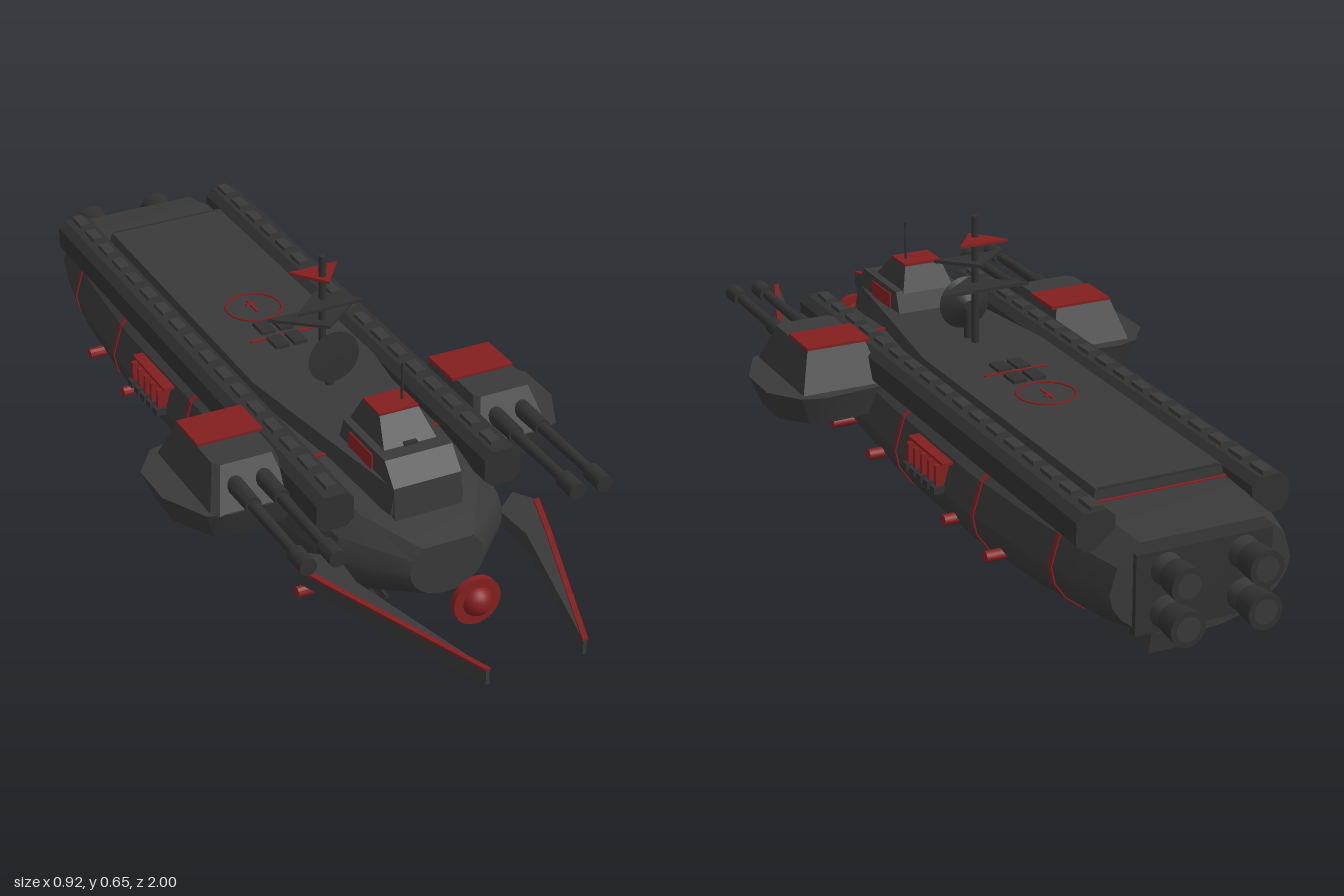
import * as THREE from 'three';
import { toCreasedNormals, mergeVertices } from 'three/addons/utils/BufferGeometryUtils.js';

const V = (x, y, z) => new THREE.Vector3(x, y, z);

// Skin closed rings of points (counter-clockwise seen from the first ring's side) and cap both ends
function loft(rings, crease = 0.5) {
  const n = rings[0].length, pos = rings.flat().flatMap(p => [p.x, p.y, p.z]), idx = [];
  for (let r = 0; r < rings.length - 1; r++) for (let i = 0; i < n; i++) {
    const a = r * n + i, b = r * n + (i + 1) % n, c = a + n, d = b + n;
    idx.push(a, c, b, b, c, d);
  }
  const e = (rings.length - 1) * n;
  for (let i = 1; i < n - 1; i++) idx.push(0, i, i + 1, e, e + i + 1, e + i);
  const g = new THREE.BufferGeometry();
  g.setAttribute('position', new THREE.Float32BufferAttribute(pos, 3));
  g.setIndex(idx);
  return toCreasedNormals(g, crease);
}

// Mirror across x and restore the winding
function mirrored(geo) {
  const g = geo.index ? geo.toNonIndexed() : geo.clone();
  g.scale(-1, 1, 1);
  for (const a of Object.values(g.attributes)) for (let t = 0; t < a.count; t += 3) for (let k = 0; k < a.itemSize; k++) {
    const u = a.getComponent(t + 1, k);
    a.setComponent(t + 1, k, a.getComponent(t + 2, k));
    a.setComponent(t + 2, k, u);
  }
  g.deleteAttribute('normal');
  g.deleteAttribute('uv');
  return toCreasedNormals(mergeVertices(g), 0.6);
}

const box = (w, h, d, x, y, z) => new THREE.BoxGeometry(w, h, d).translate(x, y, z);
const rodZ = (r0, r1, z0, z1, x, y, n = 16) =>
  new THREE.CylinderGeometry(r1, r0, z1 - z0, n).rotateX(Math.PI / 2).translate(x, y, (z0 + z1) / 2);
const rodY = (r, y0, y1, x, z) => new THREE.CylinderGeometry(r, r, y1 - y0, 10).translate(x, (y0 + y1) / 2, z);
const shapeOf = pts => new THREE.Shape(pts.map(p => new THREE.Vector2(...p)));
// Plan outline [x, z] raised from y
const plan = (pts, y, h) => new THREE.ExtrudeGeometry(shapeOf(pts.map(([x, z]) => [x, -z])), { depth: h, bevelEnabled: false })
  .rotateX(-Math.PI / 2).translate(0, y, 0);
// Side outline [z, y] with a width along x
const side = (pts, w) => new THREE.ExtrudeGeometry(shapeOf(pts), { depth: w, bevelEnabled: false })
  .translate(0, 0, -w / 2).rotateY(-Math.PI / 2);
// Horizontal ring for tapered blocks, points given as [x, z] clockwise on the plan
const level = (pts, y) => pts.map(([x, z]) => V(x, y, z));
const rect = (x0, x1, z0, z1) => [[x0, z1], [x1, z1], [x1, z0], [x0, z0]];

// Hull stations: z, half width, top, bottom
const stations = [
  [0.65, 0.085, 0.265, 0.145], [0.53, 0.2, 0.3, 0.092], [0.35, 0.235, 0.325, 0.068], [0, 0.262, 0.335, 0.05],
  [-0.4, 0.267, 0.335, 0.05], [-0.65, 0.25, 0.335, 0.062], [-0.82, 0.222, 0.325, 0.082], [-0.9, 0.2, 0.315, 0.1],
];
function section(z, grow = 0) {
  let i = 0;
  while (i < stations.length - 2 && z < stations[i + 1][0]) i++;
  const A = stations[i], B = stations[i + 1], t = (z - A[0]) / (B[0] - A[0]);
  const [w, top, bot] = [1, 2, 3].map(k => A[k] + (B[k] - A[k]) * t + (k === 3 ? -grow : grow));
  const h = top - bot, mid = bot + h * 0.55, pts = [];
  for (let k = 0; k <= 12; k++) {
    const a = Math.PI + Math.PI * k / 12;
    pts.push(V(w * Math.cos(a), mid + (mid - bot) * Math.sin(a), z));
  }
  pts.push(V(w * 0.92, top - h * 0.2, z), V(w * 0.68, top, z), V(-w * 0.68, top, z), V(-w * 0.92, top - h * 0.2, z));
  return pts;
}

export function createModel() {
  const model = new THREE.Group();
  const mat = (name, color) => Object.assign(new THREE.MeshStandardMaterial({ color }), { name });
  const grey = mat('charcoal', 0x393939), dark = mat('dark steel', 0x313131), red = mat('deep red', 0x841f1f);
  const add = (name, geo, m) => {
    const mesh = new THREE.Mesh(geo, m);
    mesh.name = name;
    model.add(mesh);
  };
  const pair = (name, geo, m) => { add(name + 'Left', geo, m); add(name + 'Right', mirrored(geo), m); };

  // Hull, seams and raised spine
  add('hull', loft(stations.map(s => section(s[0]))), grey);
  for (const z of [0.33, -0.06, -0.44, -0.73])
    add('hullSeam', loft([section(z + 0.005, 0.003), section(z - 0.005, 0.003)]), red);
  const spine = (s, y) => level([[-0.075 * s, 0.56], [0.075 * s, 0.56], [0.145 * s, 0.05], [0.14 * s, -0.73],
    [-0.14 * s, -0.73], [-0.145 * s, 0.05]], y);
  add('spine', loft([spine(1, 0.358), spine(1.12, 0.3)]), grey);
  add('sternSeam', box(0.27, 0.004, 0.006, 0, 0.357, -0.728), dark);

  // Side rails with a row of teeth
  const rail = z => [[-1, -0.6], [-0.6, -1], [0.6, -1], [1, -0.6], [1, 0.6], [0.6, 1], [-0.6, 1], [-1, 0.6]]
    .map(([x, y]) => V(0.193 + x * 0.042, 0.322 + y * 0.04, z));
  pair('rail', loft([rail(0.53), rail(-0.83)], 0.3), dark);
  for (let i = 0; i < 17; i++) pair('railTooth', box(0.024, 0.014, 0.05, 0.19, 0.364, 0.48 - i * 0.08), grey);

  // Bridge tower
  add('bridgeBase', side([[0.57, 0.27], [0.56, 0.36], [0.52, 0.405], [0.34, 0.405], [0.32, 0.35], [0.32, 0.28]], 0.155), grey);
  add('bridgeTower', loft([level(rect(-0.045, 0.045, 0.36, 0.435), 0.455), level(rect(-0.062, 0.062, 0.335, 0.49), 0.4)]), grey);
  add('bridgeRoof', box(0.09, 0.006, 0.072, 0, 0.457, 0.398), red);
  add('bridgeHatch', box(0.03, 0.006, 0.03, 0, 0.408, 0.475), dark);
  pair('bridgeStripe', box(0.004, 0.035, 0.1, 0.079, 0.375, 0.42), red);
  add('bridgeAerial', rodY(0.003, 0.45, 0.545, 0.025, 0.4), dark);

  // Mast with triangular vanes, and the dish ahead of it
  add('mast', rodY(0.008, 0.35, 0.65, 0, 0.09), dark);
  add('lowVane', plan([[-0.105, 0.04], [0, 0.125], [0.105, 0.04]], 0.491, 0.007), dark);
  add('midVane', plan([[-0.08, 0.13], [0.08, 0.13], [0, 0.055]], 0.541, 0.007), dark);
  add('topVane', plan([[-0.057, 0.045], [0, 0.12], [0.057, 0.045]], 0.596, 0.006), red);
  add('dish', rodZ(0.012, 0.06, 0.118, 0.145, 0, 0.433, 24), dark);
  add('dishPost', rodY(0.01, 0.35, 0.42, 0, 0.125), dark);

  // Deck markings and hatches
  add('deckRing', new THREE.TorusGeometry(0.063, 0.003, 4, 32).rotateX(Math.PI / 2).translate(0, 0.359, -0.25), red);
  add('deckRingBar', box(0.006, 0.004, 0.055, 0, 0.359, -0.255), red);
  add('deckRingCross', box(0.024, 0.004, 0.006, 0, 0.359, -0.265), red);
  add('deckLine', box(0.15, 0.004, 0.007, 0, 0.359, -0.108), red);
  for (const z of [-0.15, -0.08]) pair('deckHatch', box(0.032, 0.01, 0.05, 0.022, 0.361, z), dark);

  // Sponsons, turret casings and twin guns
  const pod = [[0.19, 0.39], [0.36, 0.4], [0.41, 0.385], [0.462, 0.28], [0.462, 0.17], [0.41, 0.1], [0.36, 0.085], [0.19, 0.1]];
  const podLow = pod.map(([x, z]) => [x * 0.94, 0.24 + (z - 0.24) * 0.85]);
  pair('sponson', loft([level(pod, 0.29), level(podLow, 0.222)]), grey);
  const casingTop = [[0.235, 0.33], [0.245, 0.345], [0.36, 0.345], [0.372, 0.33], [0.372, 0.155], [0.235, 0.155]];
  const casingLow = [[0.21, 0.385], [0.22, 0.395], [0.385, 0.395], [0.4, 0.38], [0.4, 0.115], [0.21, 0.115]];
  pair('turretCasing', loft([level(casingTop, 0.376), level(casingLow, 0.288)]), grey);
  pair('turretPanel', box(0.148, 0.008, 0.105, 0.298, 0.378, 0.208), red);
  for (const x of [0.272, 0.336]) {
    pair('gunSleeve', rodZ(0.02, 0.018, 0.33, 0.45, x, 0.333), dark);
    pair('gunBarrel', rodZ(0.013, 0.011, 0.44, 0.65, x, 0.333), dark);
    pair('gunMuzzle', rodZ(0.019, 0.019, 0.64, 0.695, x, 0.333), dark);
  }

  // Bow prongs with red top edges
  pair('prong', plan([[0.19, 0.53], [0.195, 0.63], [0.104, 1], [0.112, 1], [0.248, 0.63], [0.282, 0.53], [0.25, 0.48]], 0.182, 0.033), grey);
  pair('prongEdge', plan([[0.102, 1], [0.114, 1], [0.251, 0.63], [0.285, 0.53], [0.272, 0.53], [0.238, 0.63]], 0.214, 0.005), red);

  // Floating bow beacon
  add('beaconBall', new THREE.SphereGeometry(0.033, 24, 16).translate(0, 0.197, 0.765), red);
  add('beaconRing', rodZ(0.053, 0.053, 0.758, 0.772, 0, 0.197, 32), red);

  // Flank knobs, vents and lower strips
  for (const z of [0.54, 0.235, 0.035, -0.345, -0.54])
    pair('knob', new THREE.CylinderGeometry(0.012, 0.012, 0.07, 10).rotateZ(Math.PI / 2).translate(0.25, 0.163, z), red);
  for (let i = 0; i < 5; i++) {
    const z = -0.16 - i * 0.034;
    pair('ventSlat', box(0.05, 0.06, 0.01, 0.255, 0.235, z), red);
    pair('ventCover', box(0.06, 0.016, 0.022, 0.257, 0.212, z), dark);
  }
  pair('ventBar', box(0.04, 0.006, 0.17, 0.25, 0.27, -0.228), red);
  pair('lowerStrip', box(0.05, 0.02, 0.2, 0.125, 0.076, -0.22), red);

  // Keel fin and belly guns
  add('keelFin', side([[-0.54, 0.065], [-0.585, 0.012], [-0.63, 0.004], [-0.78, 0.004], [-0.8, 0.09]], 0.088), grey);
  pair('bellyTurret', loft([level(rect(0.035, 0.072, 0.35, 0.42), 0.09), level(rect(0.028, 0.082, 0.35, 0.41), 0.024)]), dark);
  for (const x of [0.045, 0.065]) pair('bellyGun', rodZ(0.005, 0.005, 0.4, 0.48, x, 0.04, 8), dark);

  // Stern plate and four engines
  add('sternPlate', box(0.3, 0.17, 0.02, 0, 0.21, -0.902), dark);
  for (const y of [0.256, 0.166]) {
    pair('engineNozzle', rodZ(0.038, 0.034, -1, -0.945, 0.085, y, 20), dark);
    pair('engineNeck', rodZ(0.03, 0.036, -0.95, -0.89, 0.085, y, 20), grey);
    pair('engineBore', rodZ(0.026, 0.026, -1.001, -0.99, 0.085, y, 20), grey);
  }
  return model;
}
